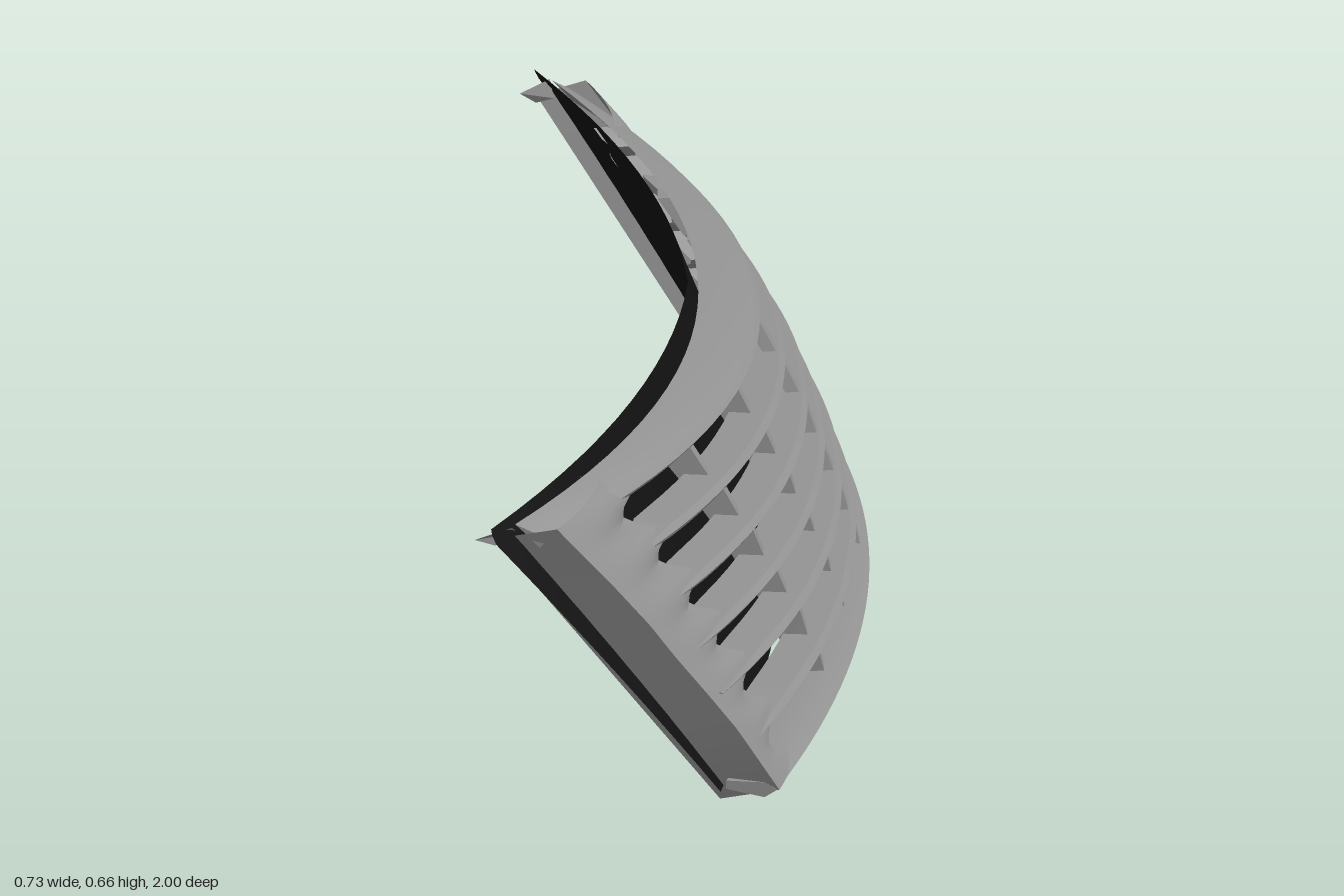
import * as THREE from 'three';
import { toCreasedNormals } from 'three/addons/utils/BufferGeometryUtils.js';

const grey = new THREE.MeshStandardMaterial({ color: 0x909090, side: THREE.DoubleSide });
const dark = new THREE.MeshStandardMaterial({ color: 0x101010, side: THREE.DoubleSide });
const { lerp, smoothstep } = THREE.MathUtils;

// Piecewise linear lookup; points are [key, value] with rising keys
function lookup(pts, t) {
  let i = 0;
  while (i < pts.length - 2 && t > pts[i + 1][0]) i++;
  const [a, b] = [pts[i], pts[i + 1]];
  return lerp(a[1], b[1], (t - a[0]) / (b[0] - a[0]));
}

// Skin through equal-length rows of [x, y, z]; closed rows get end caps
function loft(name, rows, { closed = false, material = grey } = {}) {
  const n = rows[0].length, pos = rows.flat(2), index = [];
  for (let r = 0; r < rows.length - 1; r++) {
    for (let c = 0; c < (closed ? n : n - 1); c++) {
      const a = r * n + c, b = r * n + (c + 1) % n;
      index.push(a, b, a + n, b, b + n, a + n);
    }
  }
  if (closed) {
    const last = (rows.length - 1) * n;
    for (let c = 1; c < n - 1; c++) index.push(0, c + 1, c, last, last + c, last + c + 1);
  }
  const g = new THREE.BufferGeometry();
  g.setAttribute('position', new THREE.Float32BufferAttribute(pos, 3));
  g.setIndex(index);
  const mesh = new THREE.Mesh(toCreasedNormals(g, 0.6), material);
  mesh.name = name;
  return mesh;
}

const steps = (a, b, n) => Array.from({ length: n + 1 }, (_, i) => lerp(a, b, i / n));

// Slat front edges on the centre line: height, x
const tips = [[0.045, 0.36], [0.125, 0.335], [0.215, 0.305], [0.3, 0.27],
  [0.39, 0.235], [0.48, 0.19], [0.57, 0.14]];
const bow = y => lerp(0.27, 0.42, (y - 0.045) / 0.525);
const frontX = (y, z) => lookup(tips, y) - bow(y) * z * z;
const lift = (y, z) => lerp(-0.012, 0.045, Math.min(1, (y - 0.045) / 0.17)) * z * z;

// Back panel surface, t = 0 at the bottom and 1 at the top, with a slight centre crease
const sag = z => 0.22 * Math.abs(z) + 0.78 * z * z;
const panelX = (t, z) => lerp(0.2, 0, t) - lerp(0.18, 0.34, t) * sag(z);
const panelY = (t, z) => lerp(0.07 - 0.047 * z * z, 0.635 + 0.022 * z * z, t);

function backPanel() {
  const rows = [...steps(0, 0.96, 8), 0.985, 1].map(t => steps(-1, 1, 28).map(u => {
    // Rounded upper corners
    const round = 0.015 * smoothstep(t, 0.96, 1) ** 2;
    const z = u * (lerp(0.865, 1.005, t) - round);
    return [panelX(t, z), panelY(t, z), z];
  }));
  return loft('backPanel', rows, { material: dark });
}

// Bar following the bowed front; its section is [depth, height] from the tip
function bar(name, y, half, section, taper) {
  const rows = steps(-half, half, 36).map(z => {
    const s = taper ? lerp(0.12, 1, smoothstep((half - Math.abs(z)) / taper, 0, 1)) : 1;
    return section.map(([d, h]) => [frontX(y, z) + d * s, y + lift(y, z) + h * s, z]);
  });
  return loft(name, rows, { closed: true });
}

// Top rail reaching back to the panel's upper edge
function topRail() {
  const rows = steps(-0.955, 0.955, 28).map(z => {
    const q = z * z, x = frontX(0.57, z), y = 0.57 + 0.045 * q, back = 0.02 - 0.345 * q;
    return [[x, y, z], [x - 0.015, y + 0.016, z], [back, 0.616 + 0.033 * q, z],
      [back + 0.015, 0.6 + 0.033 * q, z], [x - 0.01, y - 0.012, z]];
  });
  return loft('topRail', rows, { closed: true });
}

// Fold line between the outer flange and the front cheek: height, x
const fold = [[0.04, 0.165], [0.18, 0.09], [0.25, 0.045], [0.35, -0.02],
  [0.425, -0.065], [0.515, -0.128], [0.645, -0.225]];

function side(s) {
  const group = new THREE.Group();
  group.name = s > 0 ? 'leftSide' : 'rightSide';
  const cheek = [], flange = [];
  for (const t of steps(0, 1, 38)) {
    const yc = lerp(0.045, 0.6, t), zf = lerp(0.86, 0.965, t);
    const y = yc + lift(yc, zf), x = lookup(fold, y);
    // Cheek follows the bowed front inward, with a scoop between each pair of slats
    const gap = Math.sin(Math.PI * 6.34 * t) ** 2, zi = lerp(0.73, 0.77, gap);
    const row = steps(0, 1, 7).map(u => {
      const z = lerp(zf, zi, u);
      return [frontX(yc, z) + (x - frontX(yc, zf)) * (1 - u) - (0.018 + 0.017 * gap) * u * u,
        yc + lift(yc, z), s * z];
    });
    const [xi, yi] = row[7];
    row.push([Math.max(xi - 0.06, panelX(t, zi) + 0.01), yi, s * (zi - 0.012)]);
    cheek.push(row);
    // Flange runs from the fold back through the panel, just inside its edge
    flange.push([[x, y, s * zf], [lerp(0.06, -0.33, t), lerp(0, 0.615, t), s * lerp(0.835, 0.95, t)]]);
  }
  group.add(loft('cheek', cheek), loft('flange', flange));
  // Small mounting ear behind the upper corner
  group.add(loft('mountingEar', [
    [[-0.3, 0.645, s * 0.965], [-0.365, 0.615, s * 0.955]],
    [[-0.29, 0.615, s * 0.93], [-0.33, 0.598, s * 0.945]]]));
  return group;
}

// Upright wedge between two neighbouring slats; the middle one is shallow
function divider(lower, upper, zBase) {
  const [frontLow, frontHigh, back] = zBase ? [-0.036, -0.025, -0.09] : [-0.012, -0.008, -0.036];
  const rows = [[lower + 0.004, frontLow], [upper - 0.006, frontHigh]].map(([y, front]) => {
    const z = zBase * lerp(0.94, 1.06, y / 0.57), x = frontX(y, z), h = y + lift(y, z);
    return [[x + front, h, z - 0.015], [x + front, h, z + 0.015],
      [x + back, h, z + 0.024], [x + back, h, z - 0.024]];
  });
  return loft('divider', rows, { closed: true });
}

export function createModel() {
  const model = new THREE.Group();
  model.name = 'grille';
  model.add(backPanel(), topRail(), side(1), side(-1));

  // Horizontal slats with pointed ends
  const blade = [[0, 0], [-0.012, 0.012], [-0.08, 0.022], [-0.08, 0.006], [-0.01, -0.014]];
  for (let i = 1; i < 6; i++) model.add(bar('slat', tips[i][0], 0.87, blade, 0.16));

  // Bottom rail and its lower lip
  model.add(bar('bottomRail', 0.045, 0.86,
    [[0.003, 0], [-0.02, 0.016], [-0.09, 0.02], [-0.09, 0.002], [-0.02, -0.016]], 0));
  model.add(bar('bottomLip', 0.045, 0.63,
    [[0, 0], [-0.035, -0.036], [-0.055, -0.038], [-0.05, 0]], 0));

  // Dividers, five to a row
  for (let i = 0; i < 6; i++) {
    for (const z of [-0.5, -0.255, 0, 0.255, 0.5]) model.add(divider(tips[i][0], tips[i + 1][0], z));
  }
  return model;
}
